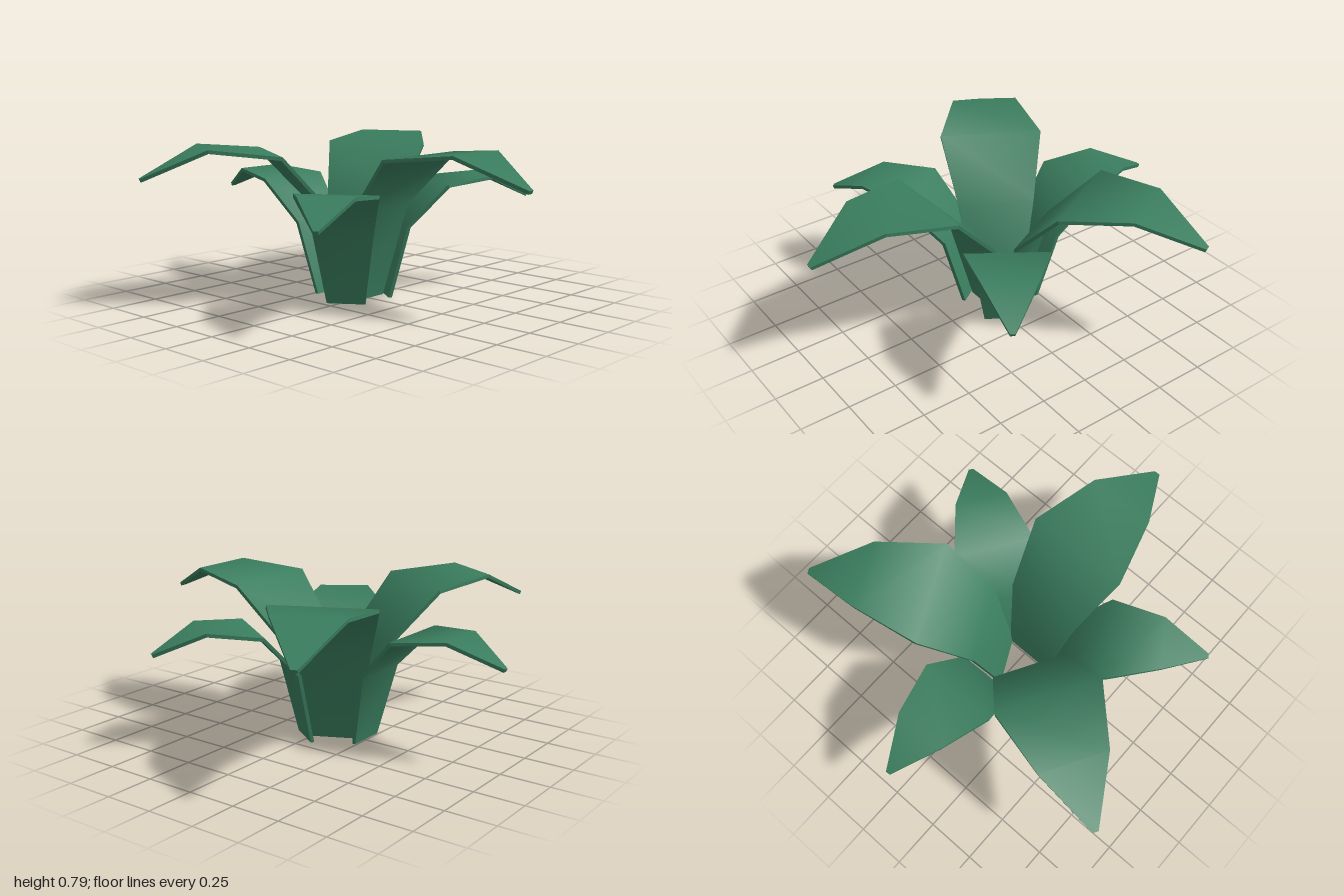
import * as THREE from 'three';

const leafMaterial = new THREE.MeshStandardMaterial({ color: 0x3a7d5e });
leafMaterial.name = 'leaf green';

// Leaf cross-sections along its length: [outward, height, half width]
const SECTIONS = [
  [0, 0, 0.125],
  [0.105, 0.476, 0.195],
  [0.35, 0.744, 0.262],
  [0.68, 0.778, 0.171],
  [0.98, 0.635, 0.015],
];
const THICKNESS = 0.018;

// Thin bent blade: smooth upper and lower faces with a hard rim
function leafGeometry(scale) {
  const rows = SECTIONS.map((s) => s.map((v) => v * scale));
  const last = rows.length - 1;
  const upper = { right: [], left: [] };
  const lower = { right: [], left: [] };
  rows.forEach(([z, y, w], i) => {
    const a = rows[Math.max(i - 1, 0)];
    const b = rows[Math.min(i + 1, last)];
    const n = new THREE.Vector2(-(b[1] - a[1]), b[0] - a[0]).normalize();
    if (i === 0) n.set(-1, 0); // keeps the foot level
    n.multiplyScalar(THICKNESS / 2);
    for (const [side, x] of [['right', w], ['left', -w]]) {
      upper[side].push([x, y + n.y, z + n.x]);
      lower[side].push([x, y - n.y, z - n.x]);
    }
  });

  const positions = [];
  const index = [];
  const add = (p) => positions.push(...p) / 3 - 1;

  // Broad faces share vertices along the length
  for (const [face, flip] of [[upper, false], [lower, true]]) {
    const r = face.right.map(add);
    const l = face.left.map(add);
    for (let i = 0; i < last; i++) {
      if (flip) index.push(l[i], r[i], r[i + 1], l[i], r[i + 1], l[i + 1]);
      else index.push(l[i], l[i + 1], r[i + 1], l[i], r[i + 1], r[i]);
    }
  }

  // Rim around the whole outline
  const top = [...upper.right, ...[...upper.left].reverse()];
  const bottom = [...lower.right, ...[...lower.left].reverse()];
  top.forEach((p, i) => {
    const j = (i + 1) % top.length;
    const [a, b, c, d] = [p, top[j], bottom[j], bottom[i]].map(add);
    index.push(a, b, c, a, c, d);
  });

  const geometry = new THREE.BufferGeometry();
  geometry.setAttribute('position', new THREE.Float32BufferAttribute(positions, 3));
  geometry.setIndex(index);
  geometry.computeVertexNormals();
  return geometry;
}

export function createModel() {
  const model = new THREE.Group();
  model.name = 'leafyPlant';
  const large = leafGeometry(1);
  const small = leafGeometry(0.776);
  const rad = THREE.MathUtils.degToRad;

  // name, geometry, foot radius, foot bearing, leaf bearing (degrees from front)
  const leaves = [
    ['largeFrontLeaf', large, 0.078, 0, 0],
    ['largeBackLeftLeaf', large, 0.078, 117, 116.6],
    ['largeBackRightLeaf', large, 0.078, -120, -120],
    ['smallBackLeaf', small, 0.172, 180, 180],
    ['smallFrontLeftLeaf', small, 0.17, 60, 56],
    ['smallFrontRightLeaf', small, 0.17, -60, -56],
  ];
  for (const [name, geometry, radius, foot, bearing] of leaves) {
    const leaf = new THREE.Mesh(geometry, leafMaterial);
    leaf.name = name;
    leaf.position.set(
      -0.015 + radius * Math.sin(rad(foot)),
      0,
      -0.062 + radius * Math.cos(rad(foot)),
    );
    leaf.rotation.y = rad(bearing);
    model.add(leaf);
  }
  return model;
}
